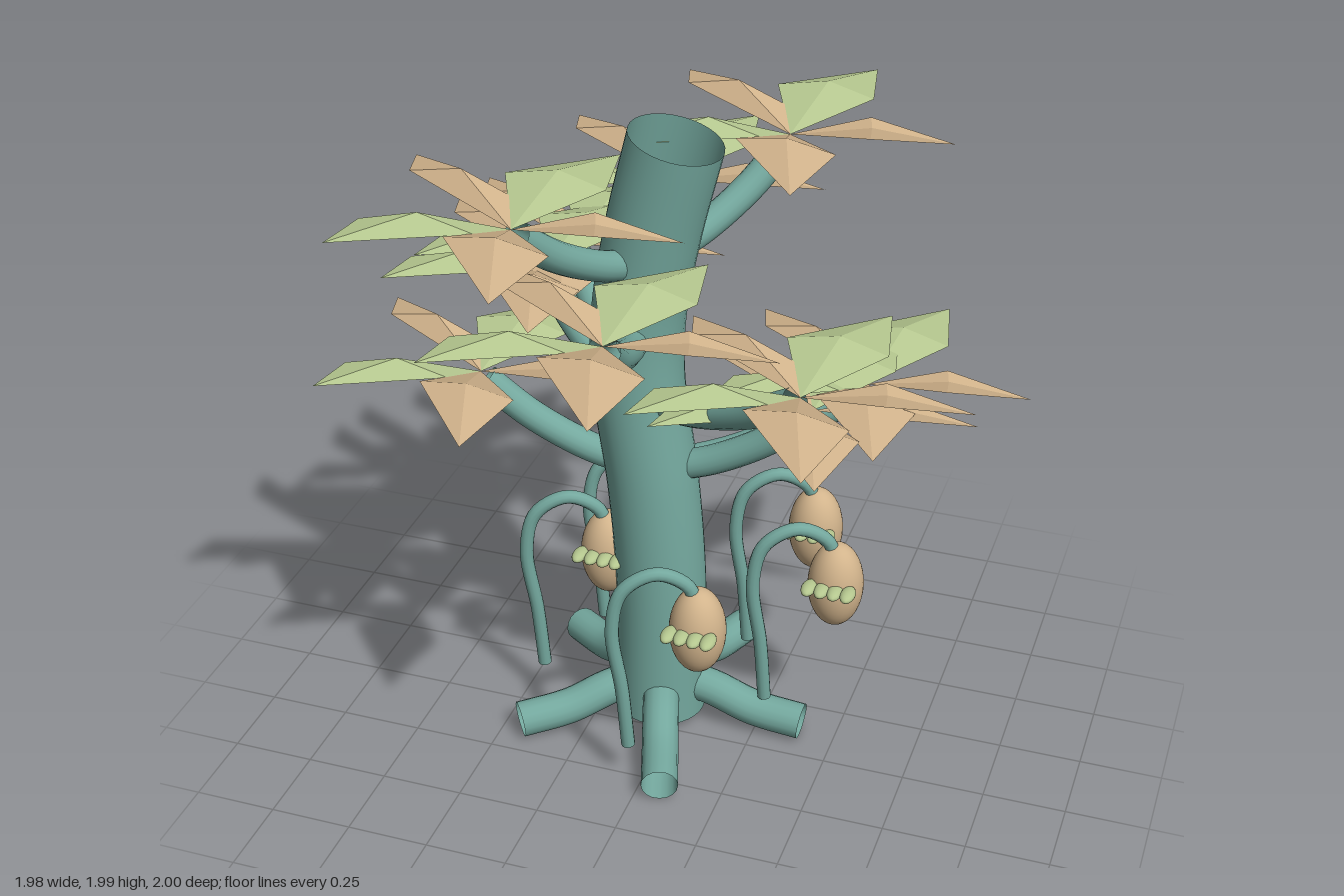
import * as THREE from 'three';

const mat = (name, color) => {
  const m = new THREE.MeshStandardMaterial({ color, side: THREE.DoubleSide });
  m.name = name;
  return m;
};
const v = (a) => new THREE.Vector3(...a);

export function createModel() {
  const root = new THREE.Group();
  root.name = 'fantasyTree';
  const bark = mat('teal bark', 0x74a89e);
  const tan = mat('tan', 0xd2b48c);
  const green = mat('pale green', 0xb5c78f);

  const add = (parent, name, geometry, material) => {
    const m = new THREE.Mesh(geometry, material);
    m.name = name;
    parent.add(m);
    return m;
  };
  const tube = (parent, name, pts, radius, segs = 24, sides = 16) =>
    add(parent, name, new THREE.TubeGeometry(
      new THREE.CatmullRomCurve3(pts.map(v)), segs, radius, sides), bark);

  // Trunk: open, gently swaying tube
  const trunkPts = [[-0.06, 0.04, -0.1], [-0.06, 0.5, -0.1], [-0.085, 0.85, -0.1],
    [-0.13, 1.2, -0.1], [-0.125, 1.42, -0.1], [-0.08, 1.68, -0.095], [-0.01, 1.965, -0.09]];
  tube(root, 'trunk', trunkPts, 0.138, 64, 32);
  const trunkX = (y) => {
    let i = 1;
    while (i < trunkPts.length - 1 && trunkPts[i][1] < y) i++;
    const [a, b] = [trunkPts[i - 1], trunkPts[i]];
    return THREE.MathUtils.mapLinear(y, a[1], b[1], a[0], b[0]);
  };

  // Roots: five spreading open tubes
  for (let i = 0; i < 5; i++) {
    const a = (i * Math.PI * 2) / 5;
    const at = (r, y) => [-0.06 + r * Math.cos(a), y, -0.1 + r * Math.sin(a)];
    tube(root, 'root', [at(0.06, 0.145), at(0.17, 0.125), at(0.3, 0.08), at(0.46, 0.062)], 0.056);
  }

  // Leaf: folded four-sided blade around a raised middle point
  const leafGeometry = (outline, mid) => {
    const pos = [];
    outline.forEach((p, i) => pos.push(...p, ...outline[(i + 1) % outline.length], ...mid));
    const g = new THREE.BufferGeometry();
    g.setAttribute('position', new THREE.Float32BufferAttribute(pos, 3));
    g.computeVertexNormals();
    return g;
  };
  const flipZ = (p) => [p[0], p[1], -p[2]];
  const narrow = [[[0, 0, 0], [0.23, 0.075, -0.02], [0.48, 0.035, 0], [0.24, 0.025, 0.02]], [0.24, 0.055, 0.008]];
  const wide = [[[0, 0, 0], [0.19, 0.05, 0.21], [0.135, 0.035, 0.475], [-0.1, 0.06, 0.21]], [0.05, 0.085, 0.22]];
  const band = [[[0, 0, 0], [-0.05, 0.035, 0.125], [-0.4, 0.035, 0.295], [-0.36, 0.05, 0.16]], [-0.2, 0.085, 0.145]];
  const flip = ([outline, mid]) => [outline.map(flipZ).reverse(), flipZ(mid)];
  const leaves = [[narrow, tan], [flip(wide), green], [flip(band), tan], [band, green], [wide, tan]]
    .map(([shape, material]) => [leafGeometry(...shape), material]);

  // Branches: tip x, tip z, tip y
  const branches = [
    [-0.59, -0.01, 1.18], [0.51, -0.3, 1.18], [0.4, -0.1, 1.18],
    [0.45, 0.23, 1.41], [-0.49, -0.29, 1.41], [-0.46, -0.46, 1.41],
    [-0.01, 0.51, 1.63], [-0.18, -0.54, 1.63],
    [-0.31, 0.38, 1.86], [0.21, -0.46, 1.86],
  ];
  for (const [x, z, y] of branches) {
    const y0 = y - 0.27;
    const x0 = trunkX(y0), z0 = -0.1;
    const at = (t, h) => [x0 + (x - x0) * t, y0 + h, z0 + (z - z0) * t];
    tube(root, 'branch', [at(0.12, 0), at(0.38, 0.045), at(0.7, 0.135), at(0.97, 0.245)], 0.045);
    const cluster = new THREE.Group();
    cluster.name = 'leafCluster';
    cluster.position.set(x, y, z);
    for (const [g, m] of leaves) add(cluster, 'leaf', g, m);
    root.add(cluster);
  }

  // Hanging pods on arched stems, each with a row of small beads in front
  const podGeometry = new THREE.SphereGeometry(1, 32, 20);
  const beadGeometry = new THREE.SphereGeometry(1, 14, 10);
  const stems = [[-0.04, 0.27], [0.28, -0.09], [0.14, -0.37], [-0.34, -0.35], [-0.43, -0.04]];
  for (const [x, z] of stems) {
    const plant = new THREE.Group();
    plant.name = 'podPlant';
    plant.position.set(x, 0, z);
    root.add(plant);
    tube(plant, 'podStem', [[0, 0.14, 0], [-0.012, 0.35, 0.015], [-0.035, 0.58, 0.032],
      [-0.005, 0.71, 0.02], [0.085, 0.765, -0.015], [0.165, 0.72, -0.055], [0.195, 0.65, -0.07]],
    0.021, 40, 12);
    const pod = add(plant, 'pod', podGeometry, tan);
    pod.position.set(0.195, 0.56, -0.07);
    pod.scale.set(0.085, 0.142, 0.083);
    for (let i = 0; i < 4; i++) {
      const bead = add(plant, 'podBead', beadGeometry, green);
      bead.position.set(0.195 + (i - 1.5) * 0.04, 0.587, 0.018);
      bead.scale.set(0.023, 0.016, 0.043);
    }
  }
  return root;
}
